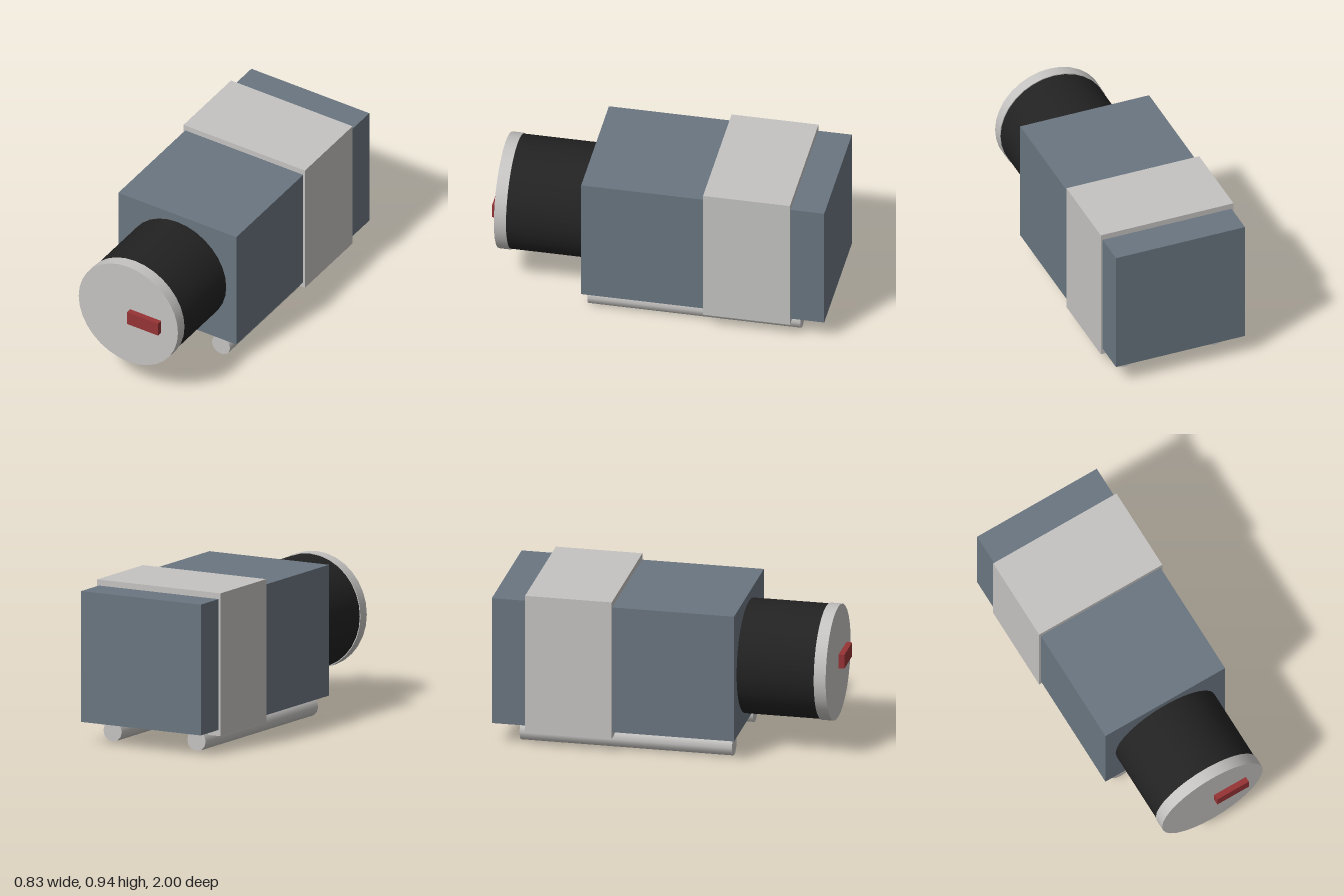
import * as THREE from 'three';

export function createModel() {
  const model = new THREE.Group();
  const paint = (name, color) => {
    const m = new THREE.MeshStandardMaterial({ color });
    m.name = name;
    return m;
  };
  const slate = paint('slate', 0x6a7680);
  const lightGrey = paint('lightGrey', 0xc4c3c1);
  const black = paint('black', 0x222222);
  const red = paint('red', 0x963335);

  const add = (name, geometry, material) => {
    const mesh = new THREE.Mesh(geometry, material);
    mesh.name = name;
    model.add(mesh);
  };
  // Box given by its lower and upper limits on each axis
  const box = (name, [x0, x1], [y0, y1], [z0, z1], material) =>
    add(name, new THREE.BoxGeometry(x1 - x0, y1 - y0, z1 - z0)
      .translate((x0 + x1) / 2, (y0 + y1) / 2, (z0 + z1) / 2), material);
  // Cylinder lying along z
  const rod = (name, x, y, radius, [z0, z1], sides, material) =>
    add(name, new THREE.CylinderGeometry(radius, radius, z1 - z0, sides)
      .rotateX(Math.PI / 2).translate(x, y, (z0 + z1) / 2), material);

  // Housing with a raised band wrapped around it
  box('housing', [-0.405, 0.405], [0.129, 0.901], [-1, 0.437], slate);
  box('band', [-0.417, 0.417], [0.093, 0.936], [-0.8, -0.286], lightGrey);

  // Front barrel, end cap and off-centre marker
  rod('barrel', 0, 0.515, 0.336, [0.43, 0.895], 32, black);
  rod('endCap', 0, 0.515, 0.341, [0.895, 0.966], 32, lightGrey);
  box('marker', [0.012, 0.226], [0.472, 0.557], [0.96, 1], red);

  // Support rails underneath
  for (const [name, side] of [['leftRail', 1], ['rightRail', -1]])
    rod(name, side * 0.284, 0.0625, 0.0625, [-0.848, 0.412], 12, lightGrey);

  return model;
}
